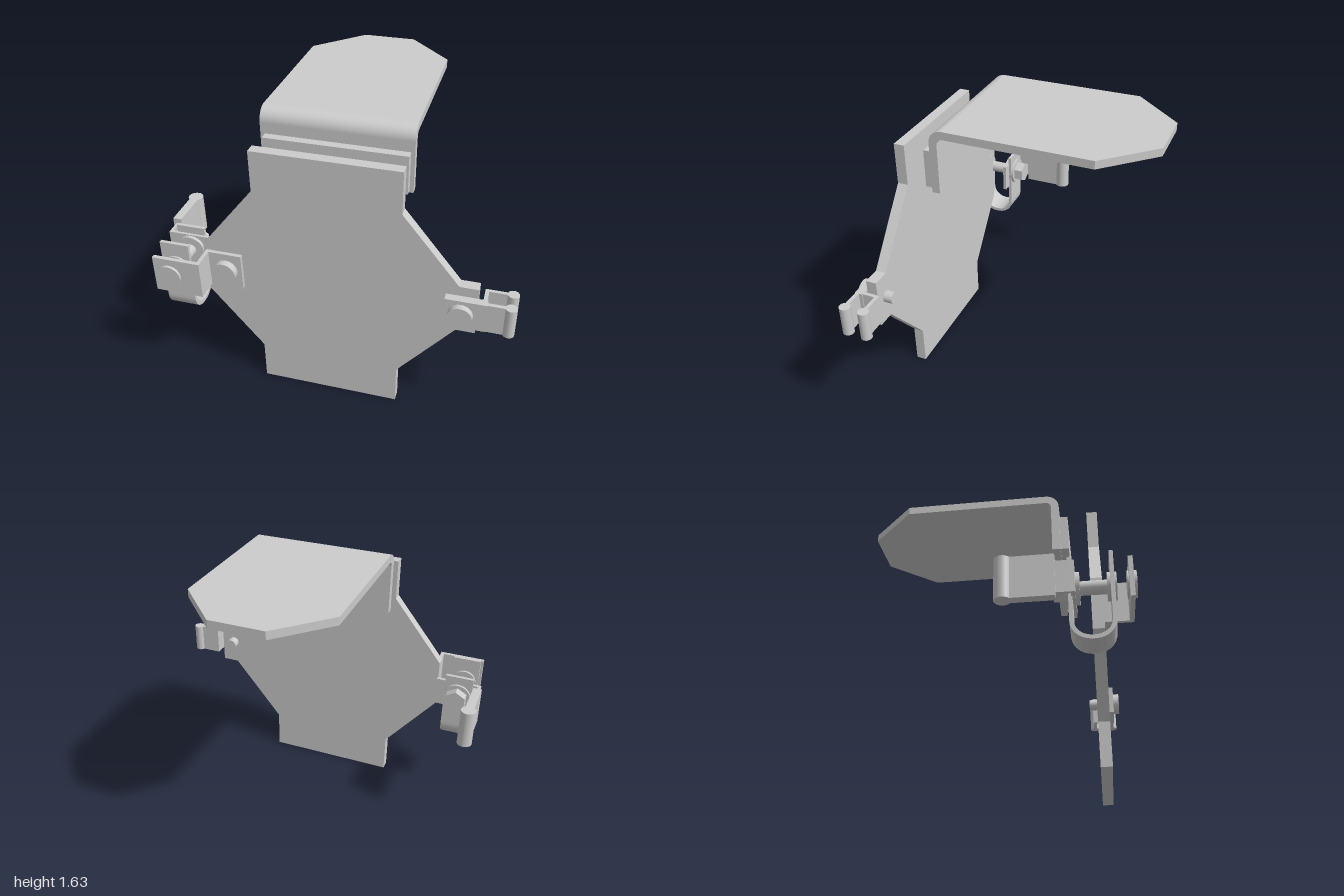
import * as THREE from 'three';

const material = new THREE.MeshStandardMaterial({ color: 0xcccccc, flatShading: false });

function add(parent, name, geometry) {
  const mesh = new THREE.Mesh(geometry, material);
  mesh.name = name;
  parent.add(mesh);
  return mesh;
}

// Box given by its extents on each axis
function box(parent, name, [x0, x1], [y0, y1], [z0, z1]) {
  const mesh = add(parent, name, new THREE.BoxGeometry(x1 - x0, y1 - y0, z1 - z0));
  mesh.position.set((x0 + x1) / 2, (y0 + y1) / 2, (z0 + z1) / 2);
}

// Disc or bolt lying along z
function disc(parent, name, x, y, radius, [z0, z1], sides = 32) {
  const geometry = new THREE.CylinderGeometry(radius, radius, z1 - z0, sides);
  const mesh = add(parent, name, sides < 8 ? geometry.toNonIndexed() : geometry);
  if (sides < 8) mesh.geometry.computeVertexNormals();
  mesh.rotation.x = Math.PI / 2;
  mesh.position.set(x, y, (z0 + z1) / 2);
}

// Upright rod
function rod(parent, name, x, z, radius, [y0, y1]) {
  const mesh = add(parent, name, new THREE.CylinderGeometry(radius, radius, y1 - y0, 24));
  mesh.position.set(x, (y0 + y1) / 2, z);
}

// Outline in (z, y) extruded across x
function extrudeAcross(parent, name, shape, [x0, x1]) {
  const geometry = new THREE.ExtrudeGeometry(shape, { depth: x1 - x0, bevelEnabled: false, curveSegments: 12 });
  geometry.rotateY(-Math.PI / 2);
  const mesh = add(parent, name, geometry);
  mesh.position.x = x1;
  return mesh;
}

export function createModel() {
  const model = new THREE.Group();
  model.name = 'plateAssembly';

  // Large cut-corner plate with a tab on its left
  const outline = [
    [-0.385, 0], [0.395, 0], [0.395, 0.235], [0.70, 0.605], [0.80, 0.605], [0.80, 0.89], [0.70, 0.89],
    [0.395, 1.27], [0.395, 1.505], [-0.385, 1.505], [-0.385, 1.27], [-0.69, 0.89], [-0.69, 0.605], [-0.385, 0.235],
  ].map(([x, y]) => new THREE.Vector2(x, y));
  const plate = add(model, 'mainPlate',
    new THREE.ExtrudeGeometry(new THREE.Shape(outline), { depth: 0.06, bevelEnabled: false }));
  plate.position.z = 0.54;

  // Bent visor: upright flange and rounded bend, then a tapered top sheet
  const visor = new THREE.Group();
  visor.name = 'visor';
  model.add(visor);
  const bend = new THREE.Shape();
  bend.moveTo(0.34, 1.265);
  bend.lineTo(0.385, 1.265);
  bend.lineTo(0.385, 1.555);
  bend.absarc(0.31, 1.555, 0.075, 0, Math.PI / 2, false);
  bend.lineTo(0.31, 1.585);
  bend.absarc(0.31, 1.555, 0.03, Math.PI / 2, 0, true);
  bend.lineTo(0.34, 1.265);
  extrudeAcross(visor, 'visorBend', bend, [-0.40, 0.405]);

  const sheet = new THREE.Shape([
    [-0.40, -0.31], [0.405, -0.31], [0.405, 0.5], [0.155, 0.765], [-0.145, 0.765], [-0.40, 0.5],
  ].map(([x, y]) => new THREE.Vector2(x, y)));
  const top = add(visor, 'visorSheet', new THREE.ExtrudeGeometry(sheet, { depth: 0.045, bevelEnabled: false }));
  top.rotation.x = -Math.PI / 2;
  top.position.y = 1.585;
  box(visor, 'visorPad', [-0.375, 0.385], [1.28, 1.495], [0.385, 0.432]);

  // Spring clip on the left tab
  const clip = new THREE.Group();
  clip.name = 'springClip';
  model.add(clip);
  const clipY = [0.665, 0.835];
  box(clip, 'clipFrontArm', [0.635, 0.85], clipY, [0.60, 0.645]);
  box(clip, 'clipFrontFinger', [0.85, 0.95], clipY, [0.62, 0.642]);
  box(clip, 'clipWeb', [0.825, 0.845], clipY, [0.51, 0.63]);
  box(clip, 'clipRearFinger', [0.825, 0.95], clipY, [0.51, 0.53]);
  for (const z of [0.52, 0.63]) rod(clip, 'clipTip', 0.968, z, 0.031, clipY);
  disc(clip, 'clipBoltHead', 0.72, 0.75, 0.065, [0.64, 0.68]);
  disc(clip, 'clipBoltEnd', 0.72, 0.75, 0.034, [0.49, 0.54]);

  // Stepped bracket on the right edge
  const bracket = new THREE.Group();
  bracket.name = 'steppedBracket';
  model.add(bracket);
  const bracketY = [0.645, 0.86];
  box(bracket, 'bracketFoot', [-0.675, -0.47], bracketY, [0.60, 0.622]);
  box(bracket, 'bracketWall', [-0.675, -0.655], bracketY, [0.60, 0.745]);
  box(bracket, 'bracketFace', [-0.925, -0.655], bracketY, [0.722, 0.745]);
  disc(bracket, 'footBoltHead', -0.56, 0.755, 0.066, [0.62, 0.662]);
  disc(bracket, 'faceRivet', -0.835, 0.755, 0.066, [0.714, 0.76]);

  // U-shaped strap with its cross bolt
  const strapGroup = new THREE.Group();
  strapGroup.name = 'strapClamp';
  model.add(strapGroup);
  const strap = new THREE.Shape();
  strap.moveTo(0.655, 0.90);
  strap.lineTo(0.655, 0.545);
  strap.bezierCurveTo(0.655, 0.48, 0.61, 0.44, 0.545, 0.44);
  strap.bezierCurveTo(0.48, 0.44, 0.435, 0.48, 0.435, 0.545);
  strap.lineTo(0.435, 0.88);
  strap.lineTo(0.455, 0.88);
  strap.lineTo(0.455, 0.545);
  strap.bezierCurveTo(0.455, 0.495, 0.49, 0.46, 0.545, 0.46);
  strap.bezierCurveTo(0.60, 0.46, 0.635, 0.495, 0.635, 0.545);
  strap.lineTo(0.635, 0.90);
  extrudeAcross(strapGroup, 'strap', strap, [-0.92, -0.755]);
  disc(strapGroup, 'crossBolt', -0.835, 0.75, 0.035, [0.37, 0.66]);
  disc(strapGroup, 'frontWasher', -0.835, 0.75, 0.07, [0.62, 0.665]);
  disc(strapGroup, 'innerWasher', -0.835, 0.75, 0.08, [0.455, 0.49]);
  disc(strapGroup, 'rearWasher', -0.835, 0.75, 0.082, [0.42, 0.45]);
  disc(strapGroup, 'hexNut', -0.835, 0.75, 0.066, [0.365, 0.425], 6);

  // Lever with a rounded grip, hung on the strap bolt
  const lever = new THREE.Group();
  lever.name = 'lever';
  model.add(lever);
  box(lever, 'leverPlate', [-0.965, -0.70], [0.665, 0.835], [0.45, 0.47]);
  box(lever, 'leverNeck', [-0.965, -0.948], [0.665, 0.835], [0.37, 0.47]);
  box(lever, 'leverPaddle', [-0.982, -0.932], [0.642, 0.865], [0.13, 0.38]);
  rod(lever, 'leverGrip', -0.957, 0.132, 0.043, [0.642, 0.865]);

  return model;
}
